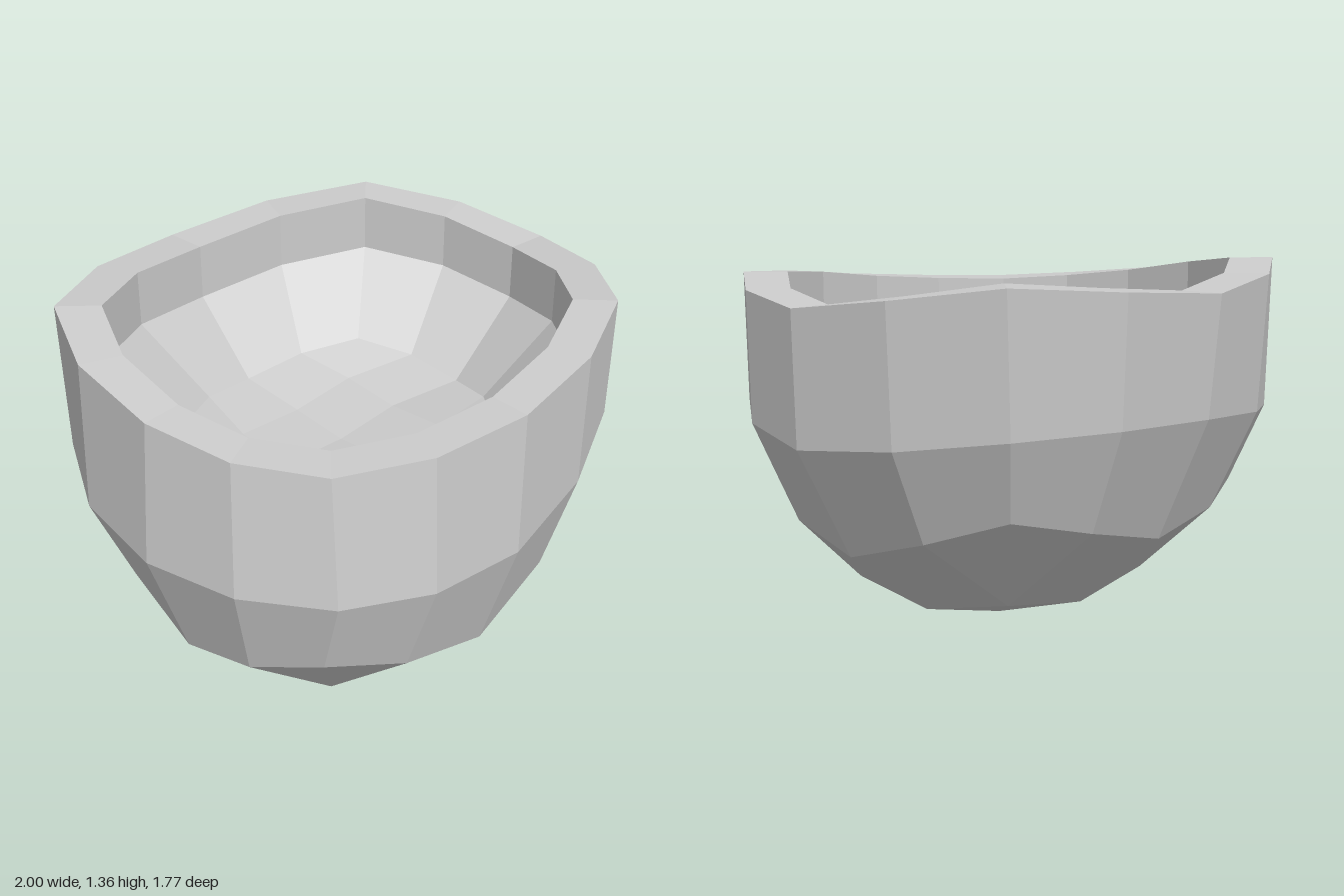
import * as THREE from 'three';

const V = (x, y, z) => new THREE.Vector3(x, y, z);

// Closed 16-point ring through 8 guide points: front-left corner, front, front-right corner, right, ...
function ring(points) {
  const curve = new THREE.CatmullRomCurve3(points.map(p => V(...p)), true, 'catmullrom', 0.5);
  return Array.from({ length: 16 }, (_, i) => curve.getPoint(i / 16));
}

// Flat-faced mesh from quads, one normal per quad
function quadMesh(name, quads) {
  const pos = [], nor = [];
  for (const [a, b, c, d] of quads) {
    const n = c.clone().sub(a).cross(d.clone().sub(b)).normalize();
    for (const p of [a, b, c, a, c, d]) {
      pos.push(p.x, p.y, p.z);
      nor.push(n.x, n.y, n.z);
    }
  }
  const g = new THREE.BufferGeometry();
  g.setAttribute('position', new THREE.Float32BufferAttribute(pos, 3));
  g.setAttribute('normal', new THREE.Float32BufferAttribute(nor, 3));
  const mesh = new THREE.Mesh(g, new THREE.MeshStandardMaterial({ color: 0xcccccc }));
  mesh.name = name;
  return mesh;
}

// Band of quads between two rings
function band(a, b) {
  return a.map((_, i) => {
    const j = (i + 1) % a.length;
    return [a[j], a[i], b[i], b[j]];
  });
}

// 4 x 4 patch closing a ring; inner holds its 3 x 3 middle points, faces point down unless flipped
function cap(border, inner, flip) {
  const at = (r, c) => {
    if (r === 0) return border[c];
    if (c === 4) return border[4 + r];
    if (r === 4) return border[12 - c];
    if (c === 0) return border[16 - r];
    return inner[(r - 1) * 3 + c - 1];
  };
  const quads = [];
  for (let r = 0; r < 4; r++) {
    for (let c = 0; c < 4; c++) {
      const q = [at(r, c), at(r, c + 1), at(r + 1, c + 1), at(r + 1, c)];
      quads.push(flip ? q.reverse() : q);
    }
  }
  return quads;
}

export function createModel() {
  const group = new THREE.Group();
  group.name = 'bowl';

  // Outer shell rings, from low to high
  const low = ring([
    [0.6, 0.54, 0.59], [-0.06, 0.3, 0.75], [-0.69, 0.45, 0.62], [-0.85, 0.33, 0.1],
    [-0.67, 0.52, -0.53], [-0.06, 0.42, -0.65], [0.6, 0.58, -0.54], [0.75, 0.39, 0.06]]);
  const belly = ring([
    [0.69, 0.87, 0.65], [-0.04, 0.73, 0.88], [-0.72, 0.76, 0.72], [-1.0, 0.76, 0.1],
    [-0.78, 0.8, -0.61], [-0.06, 0.87, -0.85], [0.69, 0.87, -0.62], [0.98, 0.8, 0.06]]);
  const rim = ring([
    [0.69, 1.33, 0.66], [-0.03, 1.26, 0.87], [-0.69, 1.22, 0.66], [-0.95, 1.27, 0.08],
    [-0.79, 1.36, -0.62], [-0.06, 1.3, -0.89], [0.73, 1.36, -0.64], [1.0, 1.27, 0.05]]);

  // Inner rings follow the rim, smaller and deeper
  const inset = (s, sz, drop) => rim.map(p => V(p.x * s, p.y - drop, p.z * sz));
  const lip = inset(0.845, 0.825, 0);
  const wall = inset(0.845, 0.825, 0.21);
  const floorEdge = inset(0.57, 0.56, 0.48);

  // Rounded underside
  const under = [
    [0.36, 0.17, 0.43], [-0.06, 0.05, 0.48], [-0.48, 0.12, 0.43],
    [0.36, 0.11, 0.08], [-0.06, 0, 0.1], [-0.48, 0.07, 0.1],
    [0.33, 0.19, -0.29], [-0.06, 0.12, -0.3], [-0.45, 0.17, -0.28]].map(p => V(...p));

  // Shallow floor inside
  const floor = [];
  for (let r = -1; r <= 1; r++) {
    for (let c = -1; c <= 1; c++) {
      floor.push(V(-c * 0.27, 0.75 + 0.02 * (r * r + c * c) - c * 0.01, -r * 0.24 - 0.02));
    }
  }

  group.add(
    quadMesh('underside', cap(low, under, false)),
    quadMesh('outerShell', [...band(low, belly), ...band(belly, rim)]),
    quadMesh('rim', band(rim, lip)),
    quadMesh('innerWall', [...band(lip, wall), ...band(wall, floorEdge)]),
    quadMesh('innerFloor', cap(floorEdge, floor, true)));
  return group;
}
